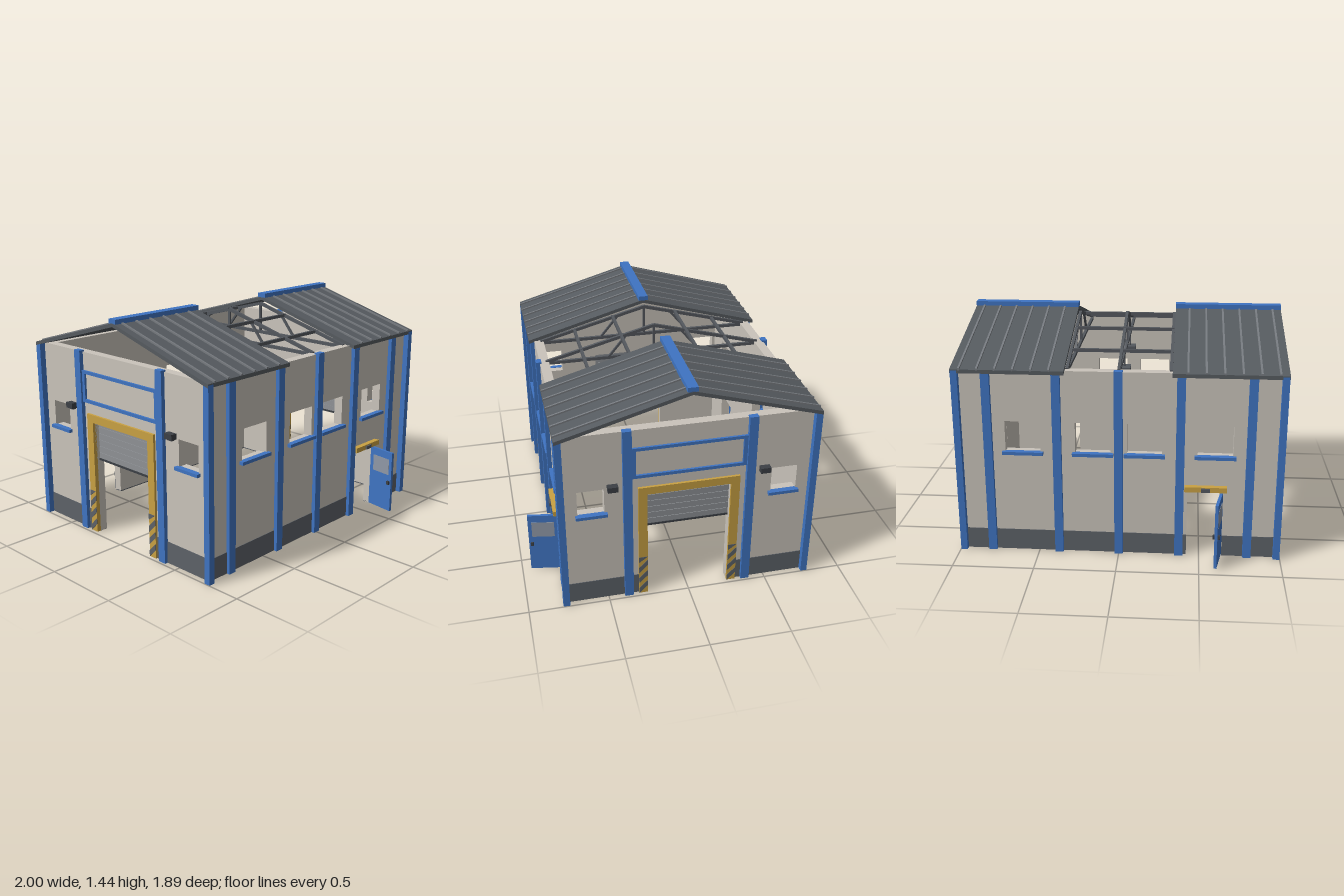
import * as THREE from 'three';

const mat = (name, color) => {
  const m = new THREE.MeshStandardMaterial({ color });
  m.name = name;
  return m;
};

export function createModel() {
  const wall = mat('plaster', 0xcac4bb);
  const blue = mat('blue paint', 0x3f74c2);
  const plinth = mat('plinth grey', 0x5d6268);
  const roofGrey = mat('roof sheet', 0x565b60);
  const ribGrey = mat('roof rib', 0x777b80);
  const steel = mat('steel', 0x54585e);
  const yellow = mat('yellow paint', 0xc9a143);
  const shutterGrey = mat('shutter grey', 0x8f9296);
  const glass = mat('door glass', 0x8f98a6);
  const dark = mat('dark trim', 0x3c4045);

  const add = (parent, name, geo, material) => {
    const m = new THREE.Mesh(geo, material);
    m.name = name;
    parent.add(m);
    return m;
  };
  // box given by its limits on each axis
  const box = (parent, name, material, x0, x1, y0, y1, z0, z1) => {
    const g = new THREE.BoxGeometry(x1 - x0, y1 - y0, z1 - z0);
    g.translate((x0 + x1) / 2, (y0 + y1) / 2, (z0 + z1) / 2);
    return add(parent, name, g, material);
  };
  const shapeOf = (pts) => new THREE.Shape(pts.map((p) => new THREE.Vector2(...p)));
  const rectHole = (a, b, c, d) => new THREE.Path(
    [[a, c], [a, d], [b, d], [b, c]].map((p) => new THREE.Vector2(...p)));
  const extrude = (shape, depth) =>
    new THREE.ExtrudeGeometry(shape, { depth, bevelEnabled: false });
  // profile in (-z, y) extended along x
  const prismX = (parent, name, material, shape, x0, x1) => {
    const g = extrude(shape, x1 - x0);
    g.rotateY(Math.PI / 2);
    g.translate(x0, 0, 0);
    return add(parent, name, g, material);
  };
  // steel bar in a plane of constant x between two (z, y) points
  const bar = (parent, name, x, a, b, t = 0.02, w = 0.018) => {
    const dz = b[0] - a[0], dy = b[1] - a[1];
    const g = new THREE.BoxGeometry(w, t, Math.hypot(dz, dy));
    g.rotateX(-Math.atan2(dy, dz));
    g.translate(x, (a[1] + b[1]) / 2, (a[0] + b[0]) / 2);
    add(parent, name, g, steel);
  };

  // roof truss across the hall
  const truss = (parent, x) => {
    const t = new THREE.Group();
    t.name = 'roofTruss';
    bar(t, 'bottomChord', x, [-0.69, 1.167], [0.69, 1.167]);
    bar(t, 'kingPost', x, [0, 1.16], [0, 1.37], 0.014, 0.014);
    for (const s of [-1, 1]) {
      bar(t, 'topChord', x, [s * 0.71, 1.175], [0, 1.365]);
      bar(t, 'strut', x, [s * 0.3, 1.17], [s * 0.18, 1.315], 0.014, 0.014);
    }
    parent.add(t);
  };

  const half = new THREE.Group();
  half.name = 'hallHalf';

  // long wall with door notch and four windows
  const longShape = shapeOf([[-0.96, 0], [0.42, 0], [0.42, 0.43], [0.64, 0.43],
    [0.64, 0], [0.96, 0], [0.96, 1.178], [-0.96, 1.178]]);
  for (const x of [-0.585, -0.157, 0.157, 0.585]) {
    longShape.holes.push(rectHole(x - 0.107, x + 0.107, 0.66, 0.855));
    box(half, 'windowSill', blue, x - 0.125, x + 0.125, 0.645, 0.665, 0.74, 0.776);
  }
  const longGeo = extrude(longShape, 0.06);
  longGeo.translate(0, 0, 0.69);
  add(half, 'longWall', longGeo, wall);
  for (const [a, b] of [[-0.962, 0.42], [0.64, 0.962]]) {
    box(half, 'longPlinth', plinth, a, b, 0, 0.135, 0.735, 0.754);
    box(half, 'longFooting', plinth, a, b, -0.001, 0.006, 0.689, 0.75);
  }
  for (const x of [-0.795, -0.373, 0, 0.373, 0.795])
    box(half, 'longColumn', blue, x - 0.026, x + 0.026, 0, x === 0 ? 1.188 : 1.178, 0.74, 0.776);

  // end wall with gate notch and two windows
  const endShape = shapeOf([[-0.69, 0], [-0.255, 0], [-0.255, 0.74], [0.255, 0.74],
    [0.255, 0], [0.69, 0], [0.69, 1.18], [-0.69, 1.18]]);
  for (const s of [-1, 1]) {
    const span = (lo, hi) => (s > 0 ? [lo, hi] : [-hi, -lo]);
    endShape.holes.push(rectHole(...span(0.51, 0.67), 0.64, 0.805));
    box(half, 'endWindowSill', blue, 0.95, 0.986, 0.622, 0.642, ...span(0.493, 0.683));
    box(half, 'wallLamp', dark, 0.955, 1.0, 0.8, 0.835, ...span(0.43, 0.492));
    box(half, 'lampBracket', steel, 0.955, 0.985, 0.79, 0.802, ...span(0.445, 0.477));
    box(half, 'endPlinth', plinth, 0.945, 0.964, 0, 0.138, ...span(0.31, 0.753));
    box(half, 'endFooting', plinth, 0.899, 0.96, -0.001, 0.006, ...span(0.256, 0.69));
    box(half, 'endColumn', blue, 0.95, 0.986, 0, 1.19, ...span(0.346, 0.4));
    box(half, 'cornerColumn', blue, 0.957, 0.998, 0, 1.178, ...span(0.746, 0.787));
    box(half, 'gateJamb', yellow, 0.95, 0.976, 0, 0.79, ...span(0.255, 0.31));
    // hazard stripes on the jamb
    const [a, b] = span(0.255, 0.31);
    const cl = (y) => Math.min(0.28, Math.max(0, y));
    for (let y = 0; y < 0.26; y += 0.08) {
      const st = shapeOf([[a, cl(y)], [b, cl(y + 0.055)], [b, cl(y + 0.095)], [a, cl(y + 0.04)]]);
      prismX(half, 'hazardStripe', plinth, st, 0.975, 0.979);
    }
  }
  prismX(half, 'endWall', wall, endShape, 0.9, 0.96);
  box(half, 'gateLintel', yellow, 0.95, 0.976, 0.74, 0.79, -0.255, 0.255);

  // half raised roller shutter
  for (let i = 0; i < 6; i++) {
    const y = 0.497 + i * 0.0425;
    box(half, 'shutterSlat', shutterGrey, 0.918, 0.932, y, y + 0.037, -0.257, 0.257);
  }
  box(half, 'shutterCore', shutterGrey, 0.921, 0.928, 0.495, 0.75, -0.257, 0.257);
  box(half, 'shutterBottomBar', dark, 0.914, 0.936, 0.485, 0.498, -0.257, 0.257);

  // blue sign frame over the gate
  const sign = shapeOf([[-0.346, 0.86], [0.346, 0.86], [0.346, 1.065], [-0.346, 1.065]]);
  sign.holes.push(rectHole(-0.322, 0.322, 0.88, 1.045));
  prismX(half, 'panelFrame', blue, sign, 0.955, 0.974);

  // side door standing open
  box(half, 'doorCanopy', yellow, 0.402, 0.66, 0.437, 0.47, 0.74, 0.785);
  box(half, 'doorLamp', steel, 0.503, 0.557, 0.442, 0.464, 0.78, 0.797);
  const door = new THREE.Group();
  door.name = 'sideDoor';
  box(door, 'doorLeaf', blue, -0.009, 0.009, 0.01, 0.425, 0, 0.195);
  box(door, 'doorWindow', glass, -0.011, 0.011, 0.265, 0.375, 0.03, 0.172);
  box(door, 'doorHandle', dark, -0.022, 0.022, 0.2, 0.224, 0.166, 0.184);
  door.position.set(0.63, 0, 0.751);
  door.rotation.y = -0.17;
  half.add(door);

  // pitched roof with standing ribs and ridge cap
  const chevron = (top, under) => shapeOf([[-0.787, 1.185 + under], [0, 1.41 + under],
    [0.787, 1.185 + under], [0.787, 1.185 + top], [0, 1.41 + top], [-0.787, 1.185 + top]]);
  prismX(half, 'roofSheet', roofGrey, chevron(0, -0.023), 0.32, 1.0);
  for (let i = 0; i < 6; i++) {
    const x = 0.41 + i * 0.107;
    prismX(half, 'roofRib', ribGrey, chevron(0.01, -0.005), x - 0.006, x + 0.006);
  }
  box(half, 'ridgeCap', blue, 0.319, 1.0, 1.405, 1.434, -0.031, 0.031);
  truss(half, 0.31);

  const other = half.clone();
  other.rotation.y = Math.PI;
  other.name = 'hallHalfOpposite';

  // exposed middle bay: truss, purlins and hanging lamps
  const middle = new THREE.Group();
  middle.name = 'openRoofBay';
  truss(middle, 0);
  for (const s of [-1, 1]) {
    for (const [z, y] of [[0.215, 1.31], [0.478, 1.235]])
      box(middle, 'purlin', steel, -0.315, 0.315, y - 0.01, y + 0.01, s * z - 0.009, s * z + 0.009);
    box(middle, 'hangingLamp', steel, -0.04, 0.04, 1.045, 1.075, s * 0.262 - 0.044, s * 0.262 + 0.044);
    box(middle, 'lampRod', steel, -0.005, 0.005, 1.07, 1.165, s * 0.262 - 0.005, s * 0.262 + 0.005);
  }

  const hall = new THREE.Group();
  hall.name = 'industrialHall';
  hall.add(half, other, middle);
  return hall;
}
